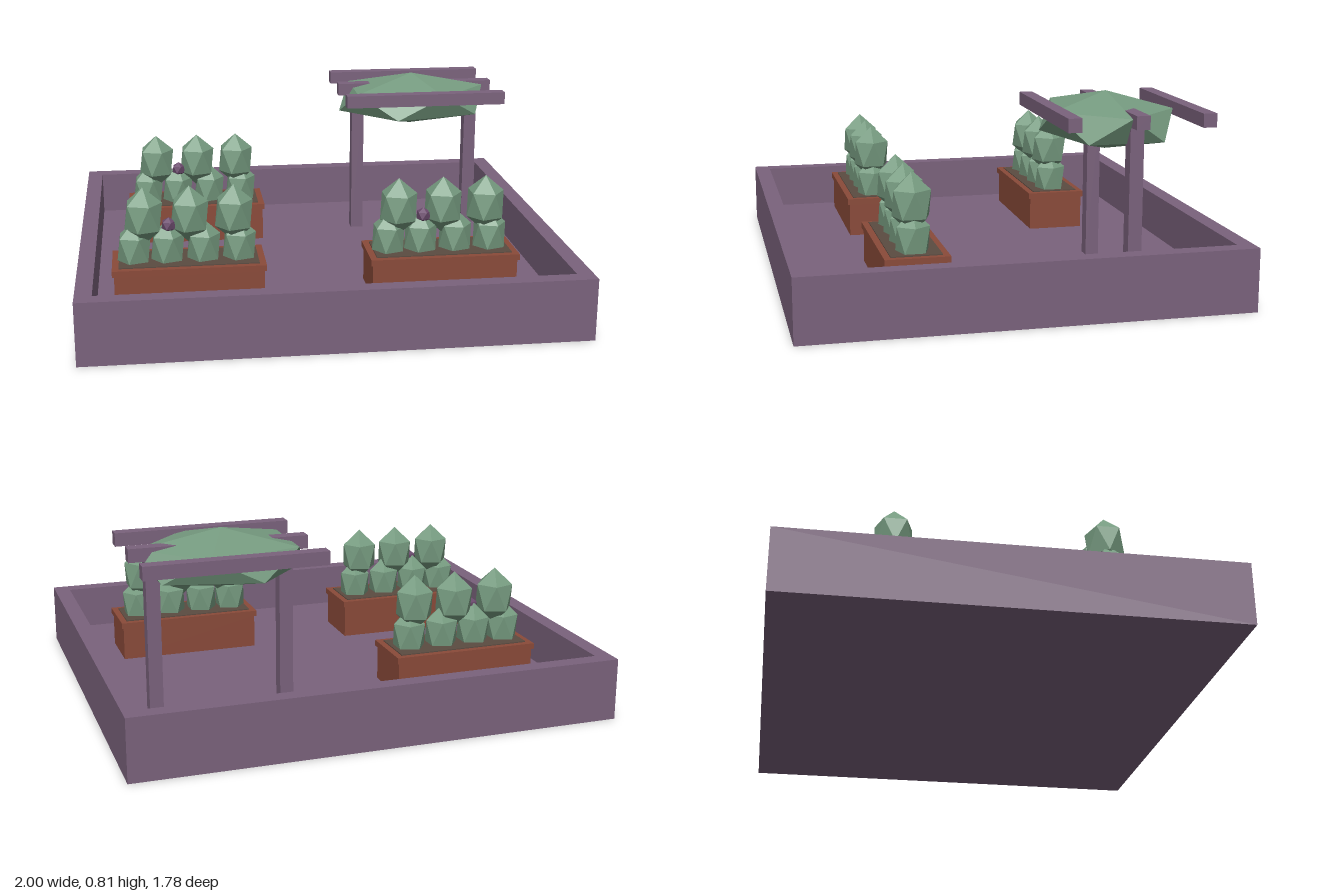
import * as THREE from 'three';

const mat = (name, color, flat = false) => {
  const m = new THREE.MeshStandardMaterial({ color, flatShading: flat });
  m.name = name;
  return m;
};

export function createModel() {
  const model = new THREE.Group();
  model.name = 'roofGarden';
  const plum = mat('plumPaint', 0x7a627c);
  const green = mat('leafGreen', 0x769b80, true);
  const clay = mat('terracotta', 0x8a4a39);
  const soil = mat('soil', 0x5b4b41);
  const bud = mat('budPurple', 0x6a4a6c, true);

  const add = (parent, name, geo, material, x, y, z) => {
    const m = new THREE.Mesh(geo, material);
    m.name = name;
    m.position.set(x, y, z);
    parent.add(m);
    return m;
  };
  // Box given by its centre in x and z, and its bottom and top in y
  const box = (parent, name, material, x, z, w, d, y0, y1) =>
    add(parent, name, new THREE.BoxGeometry(w, y1 - y0, d), material, x, (y0 + y1) / 2, z);

  // Icosahedron standing on a corner, used for all foliage
  const gem = new THREE.IcosahedronGeometry(1, 0);
  gem.rotateZ(Math.atan(2 / (1 + Math.sqrt(5))));
  gem.rotateY(Math.PI);
  const foliage = (parent, name, material, x, y, z, rx, ry, rz = rx) =>
    add(parent, name, gem.clone().scale(rx, ry, rz), material, x, y, z);

  // Tray: floor with a parapet wall all round
  const W = 1, D = 0.89, T = 0.067, H = 0.255, floorY = 0.07;
  const rect = (shape, w, d) =>
    shape.moveTo(-w, -d).lineTo(w, -d).lineTo(w, d).lineTo(-w, d).closePath();
  const frame = (w, d, t, h) => {
    const s = rect(new THREE.Shape(), w, d);
    s.holes.push(rect(new THREE.Path(), w - t, d - t));
    return new THREE.ExtrudeGeometry(s, { depth: h, bevelEnabled: false }).rotateX(-Math.PI / 2);
  };
  box(model, 'floor', plum, 0, 0, 2 * (W - T), 2 * (D - T), 0, floorY);
  add(model, 'parapet', frame(W, D, T, H), plum, 0, 0, 0);

  // Planters: body, rim, soil and two tiers of bushes
  const planter = (x, z) => {
    const g = new THREE.Group();
    g.name = 'planter';
    g.position.set(x, 0, z);
    model.add(g);
    box(g, 'planterBody', clay, 0, 0, 0.6, 0.24, floorY, 0.215);
    add(g, 'planterRim', frame(0.308, 0.128, 0.027, 0.025), clay, 0, 0.213, 0);
    box(g, 'soilBed', soil, 0, 0, 0.562, 0.202, 0.21, 0.242);
    for (const bx of [-0.218, -0.083, 0.062, 0.207])
      foliage(g, 'lowBush', green, bx, 0.292, 0.003, 0.076, 0.112);
    for (const bx of [-0.177, 0.008, 0.186])
      foliage(g, 'tallBush', green, bx, 0.425, 0.003, 0.086, 0.12);
    foliage(g, 'bud', bud, -0.077, 0.39, 0.022, 0.032, 0.032);
  };
  planter(-0.558, 0.398);
  planter(0.482, 0.398);
  planter(-0.493, -0.425);

  // Pergola: two posts, three beams and a leafy canopy
  const pergola = new THREE.Group();
  pergola.name = 'pergola';
  model.add(pergola);
  for (const x of [0.265, 0.798])
    box(pergola, 'post', plum, x, -0.446, 0.055, 0.055, floorY, 0.715);
  for (const z of [-0.18, -0.447, -0.714])
    box(pergola, 'beam', plum, 0.532, z, 0.714, 0.054, 0.71, 0.764);
  foliage(pergola, 'canopy', green, 0.513, 0.6925, -0.42, 0.375, 0.1175, 0.29);

  return model;
}
